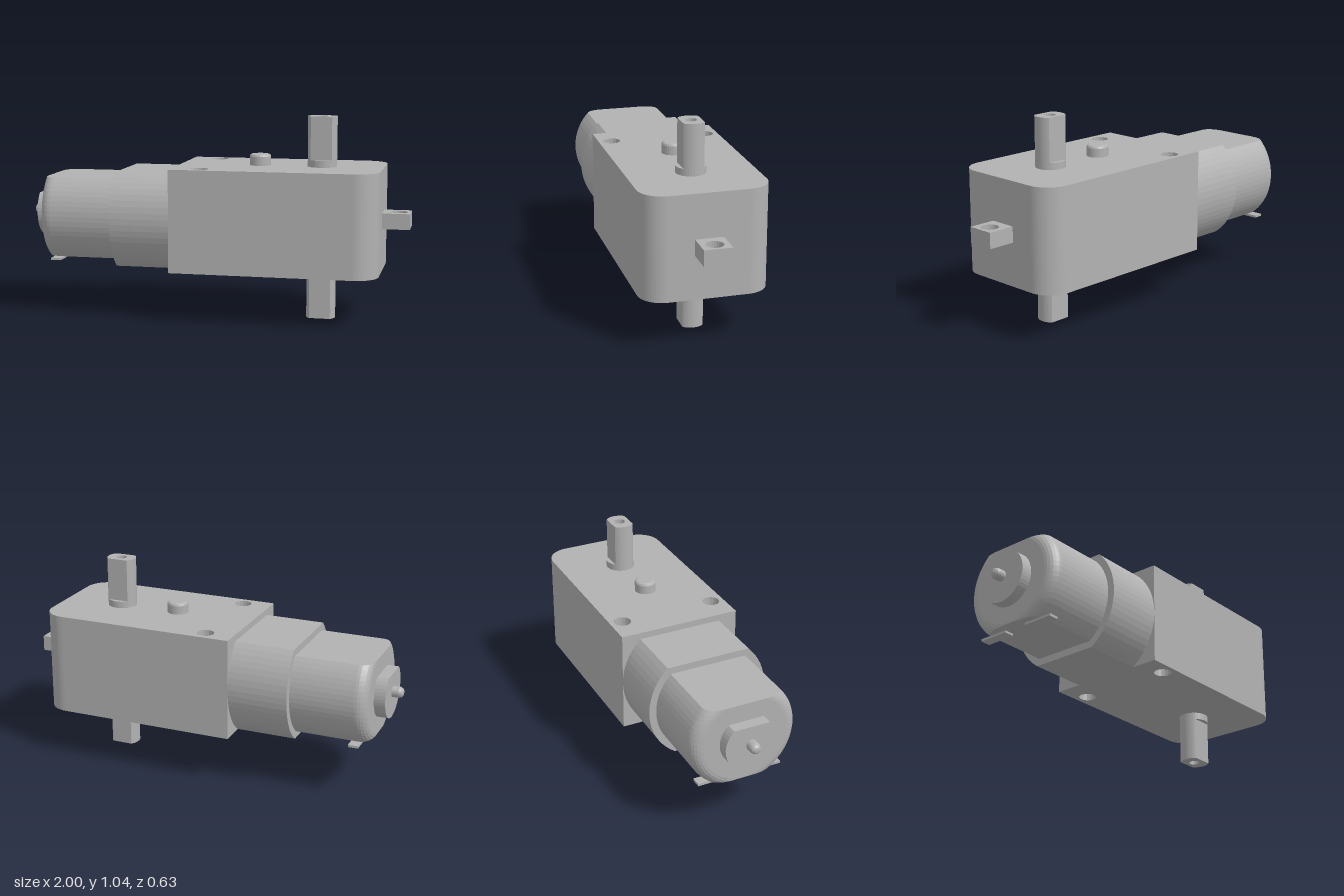
import * as THREE from 'three';

const grey = new THREE.MeshStandardMaterial({ color: 0xb2b2b2, flatShading: true });
grey.name = 'grey plastic';

const AXIS_Y = 0.52; // height of the motor axis

function part(group, name, geometry, x = 0, y = 0, z = 0) {
  const mesh = new THREE.Mesh(geometry, grey);
  mesh.name = name;
  mesh.position.set(x, y, z);
  group.add(mesh);
  return mesh;
}

// Extrudes a plan outline (x, -z) upwards by the given height
function extrudeUp(shape, height, curveSegments = 12) {
  const g = new THREE.ExtrudeGeometry(shape, { depth: height, bevelEnabled: false, curveSegments });
  return g.rotateX(-Math.PI / 2);
}

function addHole(shape, x, y, r) {
  shape.holes.push(new THREE.Path().absarc(x, y, r, 0, Math.PI * 2, true));
}

// Lofts circles cut flat above and below along x; sections are [x, radius]
function cutCylinder(sections, top, bottom, n = 18) {
  const rings = sections.map(([x, r]) => {
    const a0 = Math.asin(Math.max(-1, bottom / r)), a1 = Math.asin(Math.min(1, top / r));
    const ring = [];
    for (const side of [1, -1]) {
      for (let i = 0; i <= n; i++) {
        const t = side > 0 ? i / n : 1 - i / n;
        const a = a0 + (a1 - a0) * t;
        ring.push([x, r * Math.sin(a), side * r * Math.cos(a)]);
      }
    }
    return ring;
  });
  const pos = [];
  const tri = (a, b, c) => pos.push(...a, ...b, ...c);
  const m = rings[0].length, last = rings[rings.length - 1];
  for (let k = 0; k < rings.length - 1; k++) {
    for (let i = 0; i < m; i++) {
      const j = (i + 1) % m, A = rings[k], B = rings[k + 1];
      tri(A[i], B[i], A[j]);
      tri(A[j], B[i], B[j]);
    }
  }
  for (let i = 1; i < m - 1; i++) {
    tri(rings[0][0], rings[0][i], rings[0][i + 1]);
    tri(last[0], last[i + 1], last[i]);
  }
  const g = new THREE.BufferGeometry();
  g.setAttribute('position', new THREE.Float32BufferAttribute(pos, 3));
  g.computeVertexNormals();
  return g;
}

export function createModel() {
  const model = new THREE.Group();
  model.name = 'gearMotor';

  // Gearbox: rounded at the far end, two screw holes right through
  const x0 = -0.187, x1 = 0.86, w = 0.317, r = 0.12;
  const box = new THREE.Shape();
  box.moveTo(x0, -w);
  box.lineTo(x1 - r, -w);
  box.absarc(x1 - r, -w + r, r, -Math.PI / 2, 0, false);
  box.lineTo(x1, w - r);
  box.absarc(x1 - r, w - r, r, 0, Math.PI / 2, false);
  box.lineTo(x0, w);
  box.closePath();
  for (const s of [1, -1]) addHole(box, -0.04, s * 0.25, 0.044);
  part(model, 'gearbox', extrudeUp(box, 0.525, 8), 0, 0.258, 0);

  // Mounting tab with vertical hole
  const tab = new THREE.Shape();
  tab.moveTo(0.855, -0.07);
  tab.lineTo(1, -0.07);
  tab.lineTo(1, 0.07);
  tab.lineTo(0.855, 0.07);
  tab.closePath();
  addHole(tab, 0.941, 0, 0.043);
  part(model, 'mountingTab', extrudeUp(tab, 0.08), 0, 0.48, 0);

  // Locating peg on top
  const peg = [[0, 0], [0.055, 0], [0.055, 0.05], [0.051, 0.059], [0.043, 0.063], [0, 0.063]];
  part(model, 'locatingPeg', new THREE.LatheGeometry(peg.map(p => new THREE.Vector2(...p)), 32), 0.225, 0.778, 0);

  // Output shaft: round collar, then two flats and a bore in each end
  const shaft = new THREE.Group();
  shaft.name = 'outputShaft';
  shaft.position.x = 0.546;
  model.add(shaft);
  part(shaft, 'shaftCollar', new THREE.CylinderGeometry(0.075, 0.075, 0.596, 32), 0, 0.52, 0);
  const a = Math.asin(0.052 / 0.075);
  const flat = new THREE.Shape();
  flat.absarc(0, 0, 0.075, -a, a, false);
  flat.absarc(0, 0, 0.075, Math.PI - a, Math.PI + a, false);
  flat.closePath();
  addHole(flat, 0, 0, 0.028);
  part(shaft, 'upperShaftEnd', extrudeUp(flat, 0.222, 8), 0, 0.818, 0);
  part(shaft, 'lowerShaftEnd', extrudeUp(flat, 0.222, 8), 0, 0, 0);

  // Sleeve between gearbox and motor
  part(model, 'motorSleeve', cutCylinder([[-0.498, 0.317], [x0, 0.317]], 0.229, -0.262), 0, AXIS_Y, 0);

  // Motor can with a filleted outer end
  const can = [];
  const f = 0.058;
  for (let i = 0; i <= 6; i++) {
    const t = (i / 6) * Math.PI / 2;
    can.push([-0.885 + f * (1 - Math.cos(t)), 0.28 - f + f * Math.sin(t)]);
  }
  can.push([-0.495, 0.28]);
  part(model, 'motorCan', cutCylinder(can, 0.193, -0.226), 0, AXIS_Y, 0);

  // Rear bearing boss with a flat top
  part(model, 'bearingBoss', cutCylinder([[-0.943, 0.136], [-0.88, 0.136]], 0.099, -0.136), 0, AXIS_Y, 0);

  // Rounded rear end of the motor shaft
  const tip = [[0.028, 0], [0.028, 0.038], [0.024, 0.05], [0.015, 0.057], [0, 0.06]];
  const tipGeo = new THREE.LatheGeometry(tip.map(p => new THREE.Vector2(...p)), 24).rotateZ(Math.PI / 2);
  part(model, 'motorShaftTip', tipGeo, -0.94, AXIS_Y, 0);

  // Terminal strips under the motor
  for (const s of [1, -1]) {
    part(model, 'terminal', new THREE.BoxGeometry(0.052, 0.012, 0.16), -0.815, 0.289, s * 0.143);
  }
  return model;
}
